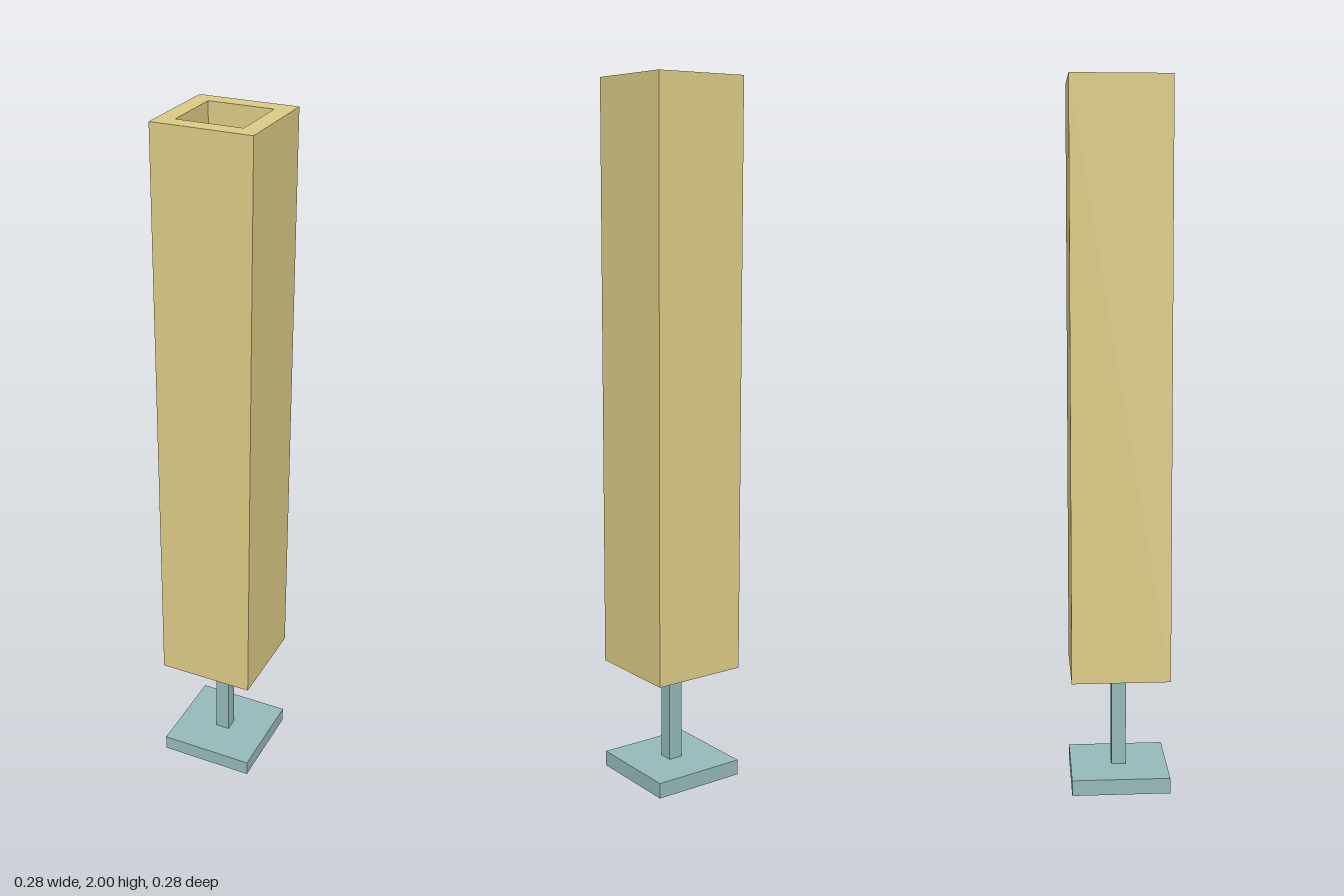
import * as THREE from 'three';

const OUTER = 0.14;  // half width of sleeve and base plate
const INNER = 0.092; // half width of the sleeve's bore
const SLEEVE_BOTTOM = 0.33;
const PLATE_TOP = 0.045;
const ROD_TOP = 0.61;

// Square outline, used for the sleeve and its hole
function square(path, h) {
  path.moveTo(-h, -h);
  path.lineTo(h, -h);
  path.lineTo(h, h);
  path.lineTo(-h, h);
  path.closePath();
  return path;
}

export function createModel() {
  const group = new THREE.Group();
  const wood = new THREE.MeshStandardMaterial({ color: 0xdccb86 });
  const steel = new THREE.MeshStandardMaterial({ color: 0x96b9b9 });

  // Square block standing between two heights
  const block = (name, width, y0, y1) => {
    const mesh = new THREE.Mesh(new THREE.BoxGeometry(width, y1 - y0, width), steel);
    mesh.position.y = (y0 + y1) / 2;
    mesh.name = name;
    group.add(mesh);
  };

  // Hollow square sleeve, open at both ends
  const shape = square(new THREE.Shape(), OUTER);
  shape.holes.push(square(new THREE.Path(), INNER));
  const geometry = new THREE.ExtrudeGeometry(shape, { depth: 2 - SLEEVE_BOTTOM, bevelEnabled: false });
  geometry.rotateX(-Math.PI / 2);
  const sleeve = new THREE.Mesh(geometry, wood);
  sleeve.position.y = SLEEVE_BOTTOM;
  sleeve.name = 'hollowPost';
  group.add(sleeve);

  // Base plate and the rod rising into the sleeve
  block('basePlate', OUTER * 2, 0, PLATE_TOP);
  block('supportRod', 0.042, PLATE_TOP, ROD_TOP);

  return group;
}
